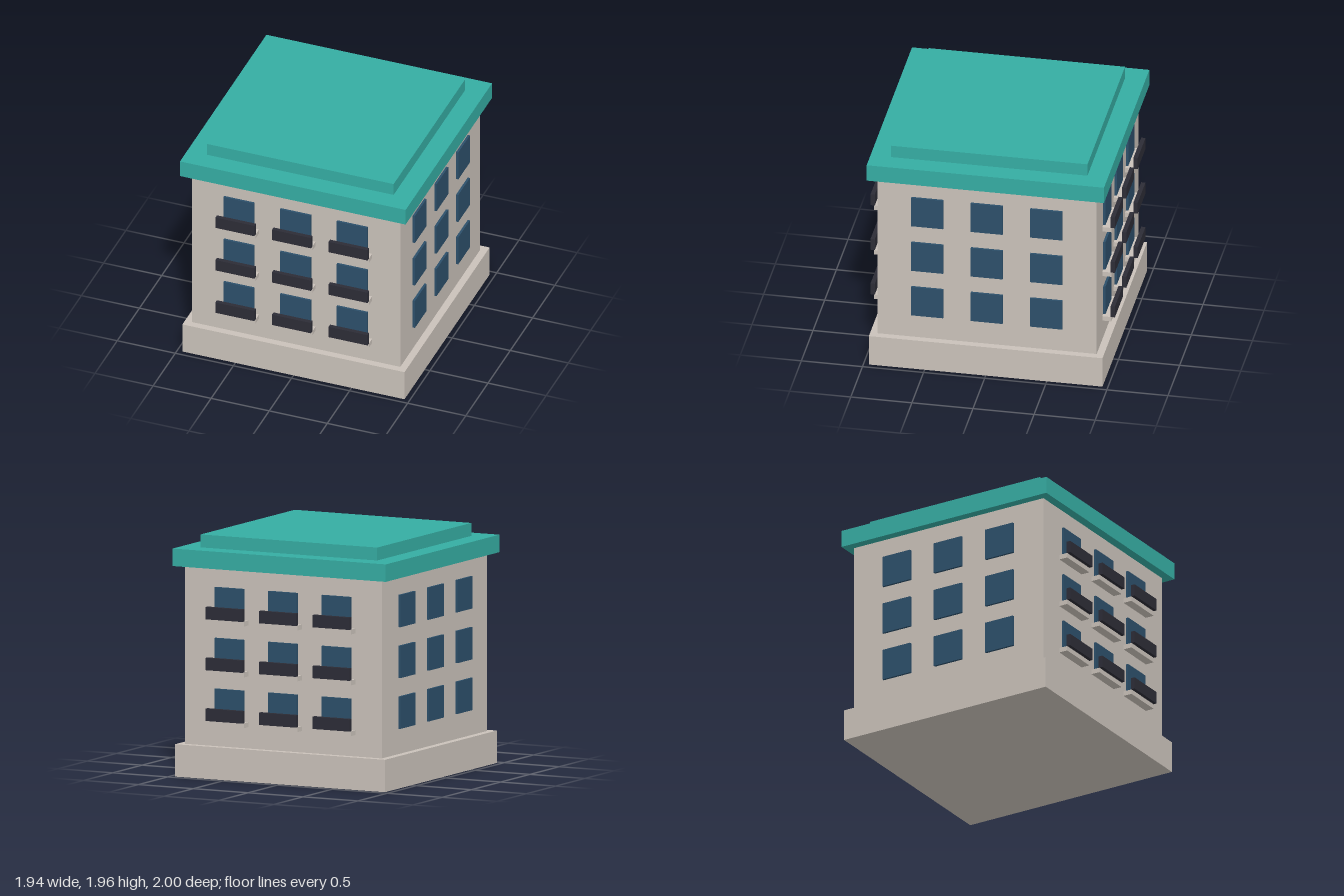
import * as THREE from 'three';

const mat = (name, color) => {
  const m = new THREE.MeshStandardMaterial({ color });
  m.name = name;
  return m;
};

export function createModel() {
  const wall = mat('stone wall', 0xc9c1b9);
  const teal = mat('teal roof', 0x35aca2);
  const glass = mat('blue glass', 0x2c4f6a);
  const dark = mat('dark railing', 0x2c2c36);

  const model = new THREE.Group();
  model.name = 'apartmentBuilding';

  // Box spanning y0..y1 and z0..z1, centred on x
  const box = (parent, name, material, w, x, y0, y1, z0, z1) => {
    const mesh = new THREE.Mesh(new THREE.BoxGeometry(w, y1 - y0, z1 - z0), material);
    mesh.position.set(x, (y0 + y1) / 2, (z0 + z1) / 2);
    mesh.name = name;
    parent.add(mesh);
  };

  // Stacked main volumes: half width, bottom, top
  const volumes = [
    ['plinth', wall, 0.956, 0, 0.263],
    ['walls', wall, 0.897, 0.263, 1.71],
    ['roofSlab', teal, 0.971, 1.71, 1.852],
    ['roofTop', teal, 0.804, 1.852, 1.957],
  ];
  for (const [name, m, h, y0, y1] of volumes) box(model, name, m, 2 * h, 0, y0, y1, -h, h);

  // Four facades with a 3 x 3 window grid; front and back carry balconies
  ['front', 'left', 'back', 'right'].forEach((side, i) => {
    const facade = new THREE.Group();
    facade.name = side + 'Facade';
    facade.rotation.y = (i * Math.PI) / 2;
    for (const y of [0.6, 1.012, 1.425]) {
      for (const x of [-0.487, 0, 0.487]) {
        box(facade, 'window', glass, 0.262, x, y - 0.131, y + 0.131, 0.89, 0.916);
        if (i % 2 === 0) {
          box(facade, 'balconySlab', wall, 0.336, x, y - 0.163, y - 0.123, 0.89, 0.971);
          box(facade, 'balconyRailing', dark, 0.336, x, y - 0.123, y - 0.023, 0.965, 1);
        }
      }
    }
    model.add(facade);
  });

  return model;
}
